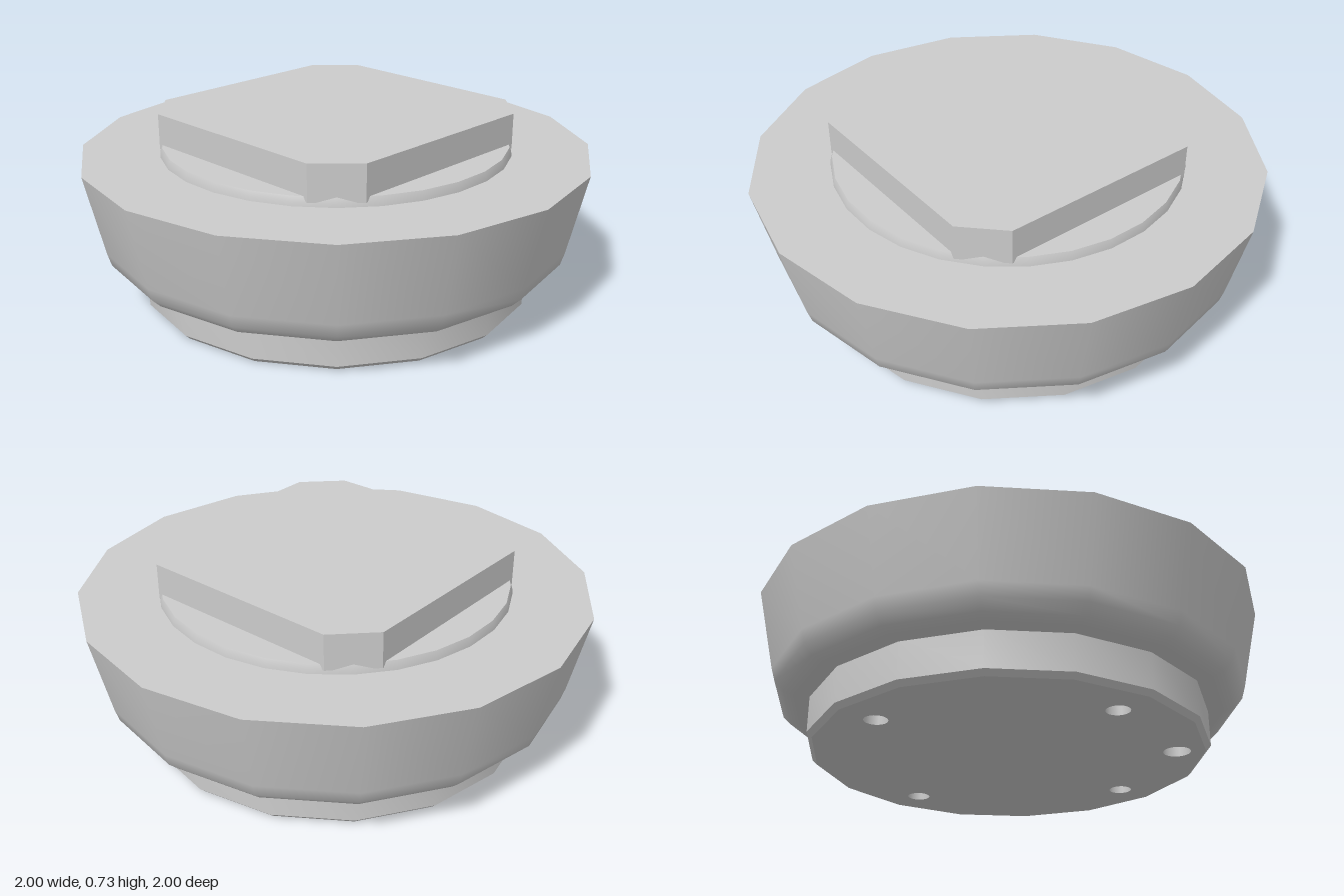
import * as THREE from 'three';
import { toCreasedNormals } from 'three/addons/utils/BufferGeometryUtils.js';

const material = new THREE.MeshStandardMaterial({ color: 0xcccccc });
const thinMaterial = new THREE.MeshStandardMaterial({ color: 0xcccccc, side: THREE.DoubleSide });

export function createModel() {
  const model = new THREE.Group();

  const add = (name, geometry, mat = material) => {
    const mesh = new THREE.Mesh(geometry, mat);
    mesh.name = name;
    model.add(mesh);
    return mesh;
  };

  // Turned part: profile of [radius, height] from bottom to top
  const turn = (name, profile, sides) => {
    const points = profile.map(([r, y]) => new THREE.Vector2(r, y));
    return add(name, toCreasedNormals(new THREE.LatheGeometry(points, sides), 0.6));
  };

  // Flared outer ring with a rounded lower edge
  turn('outerRing', [
    [0.74, 0.16], [0.84, 0.162], [0.88, 0.175], [0.915, 0.21],
    [0.93, 0.26], [1, 0.575], [0.62, 0.575],
  ], 16);

  // Lower base wall with a chamfered foot
  turn('baseWall', [[0.76, 0], [0.78, 0.02], [0.78, 0.17]], 16);

  // Raised disc under the square head
  turn('headDisc', [[0.69, 0.56], [0.688, 0.59], [0.68, 0.61], [0, 0.61]], 28);

  // Square head with clipped corners
  const a = 0.1, b = 0.68;
  const outline = [[a, -b], [b, -a], [b, a], [a, b], [-a, b], [-b, a], [-b, -a], [-a, -b]];
  const headShape = new THREE.Shape(outline.map(([x, y]) => new THREE.Vector2(x, y)));
  const head = new THREE.ExtrudeGeometry(headShape, { depth: 0.14, bevelEnabled: false });
  head.rotateX(-Math.PI / 2);
  head.translate(0, 0.59, 0);
  add('squareHead', head);

  // Underside plate with four diagonal holes and one locating hole at the front
  const holes = [[0, 0.65, 0.053]];
  for (const x of [-0.43, 0.43]) for (const z of [-0.43, 0.43]) holes.push([x, z, 0.045]);

  const rim = [];
  for (let i = 0; i < 16; i++) {
    const t = (i / 16) * Math.PI * 2;
    rim.push(new THREE.Vector2(Math.cos(t) * 0.76, Math.sin(t) * 0.76));
  }
  const plate = new THREE.Shape(rim);
  const depth = 0.13;
  for (const [x, z, r] of holes) {
    plate.holes.push(new THREE.Path().absarc(x, z, r, 0, Math.PI * 2, true));

    // Hole wall and its blind end
    const wall = new THREE.CylinderGeometry(r, r, depth, 24, 1, true);
    wall.translate(x, depth / 2, z);
    add('holeWall', wall, thinMaterial);
    const end = new THREE.CircleGeometry(r, 24);
    end.rotateX(Math.PI / 2);
    end.translate(x, depth, z);
    add('holeEnd', end);
  }
  const underside = new THREE.ShapeGeometry(plate, 12);
  underside.rotateX(Math.PI / 2);
  add('underside', underside);

  return model;
}
